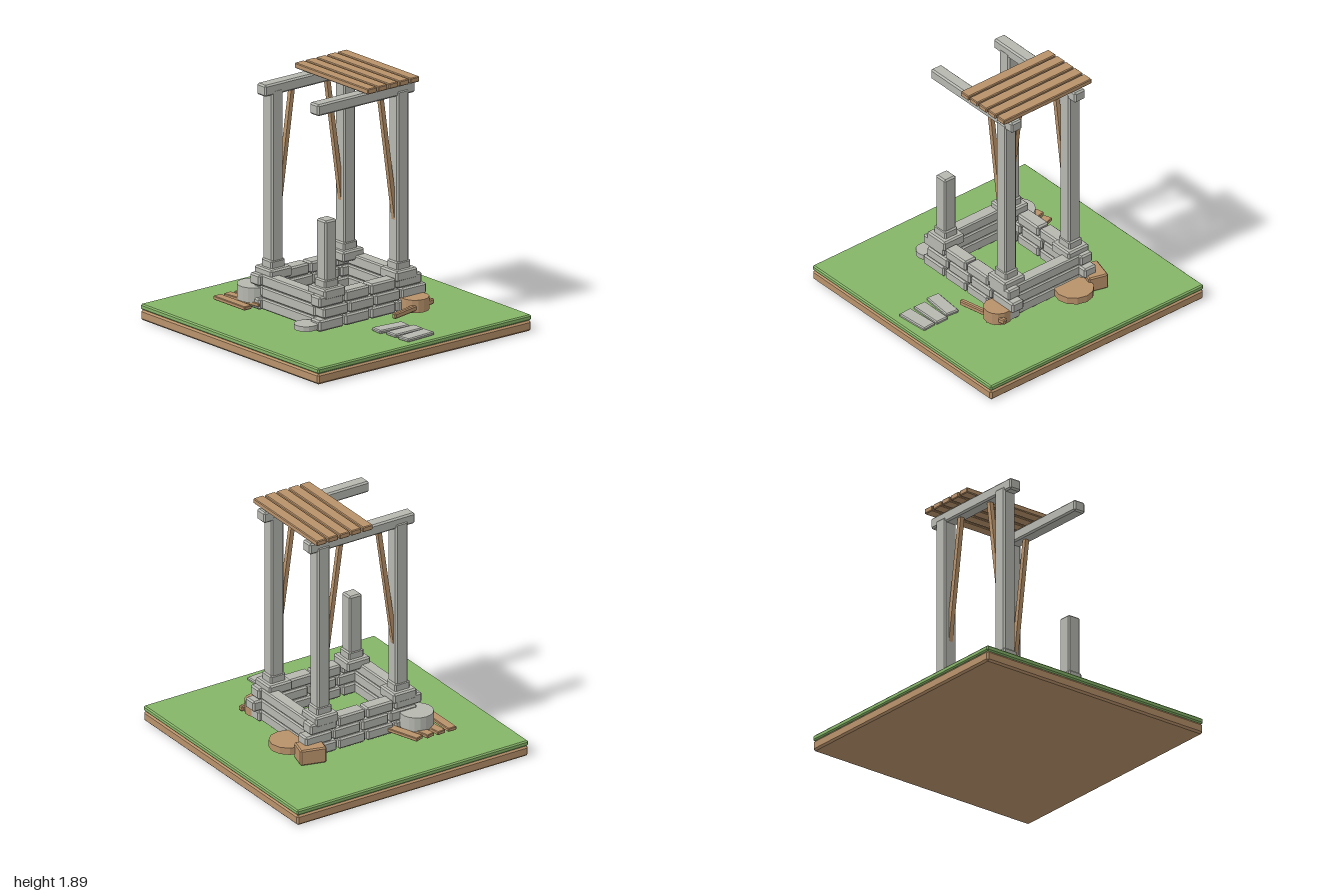
import * as THREE from 'three';
import { ConvexGeometry } from 'three/addons/geometries/ConvexGeometry.js';

const material = (name, color) => {
  const m = new THREE.MeshStandardMaterial({ color });
  m.name = name;
  return m;
};

// Box with chamfered edges and flat faces
function chamferBox(w, h, d, c = 0.01) {
  const pts = [];
  for (const x of [-w / 2, w / 2]) for (const y of [-h / 2, h / 2]) for (const z of [-d / 2, d / 2]) {
    const sx = Math.sign(x) * c, sy = Math.sign(y) * c, sz = Math.sign(z) * c;
    pts.push(
      new THREE.Vector3(x, y - sy, z - sz),
      new THREE.Vector3(x - sx, y, z - sz),
      new THREE.Vector3(x - sx, y - sy, z));
  }
  return new ConvexGeometry(pts);
}

export function createModel() {
  const model = new THREE.Group();
  model.name = 'ruinedWell';
  const stone = material('stone', 0xb6b8b0);
  const wood = material('wood', 0xb8926a);
  const grass = material('grass', 0x86b568);

  const add = (name, geometry, mat, x, y, z) => {
    const mesh = new THREE.Mesh(geometry, mat);
    mesh.name = name;
    mesh.position.set(x, y, z);
    model.add(mesh);
    return mesh;
  };
  // Chamfered block from its bottom y to its top y
  const block = (name, mat, x, z, w, d, y0, y1, turn = 0, c = 0.01) => {
    const mesh = add(name, chamferBox(w, y1 - y0, d, c), mat, x, (y0 + y1) / 2, z);
    mesh.rotation.y = turn;
    return mesh;
  };
  const drum = (name, mat, x, z, r, y0, y1, sides) => {
    const geo = new THREE.CylinderGeometry(r, r, y1 - y0, sides).toNonIndexed();
    geo.computeVertexNormals();
    return add(name, geo, mat, x, (y0 + y1) / 2, z);
  };

  // Ground slab
  block('soil', wood, 0, 0, 2, 2, 0, 0.08, 0, 0.014);
  block('grass', grass, 0, 0, 2, 2, 0.08, 0.123, 0, 0.01);

  // Three courses of wall: four stones front and back, one slab per side
  for (let course = 0; course < 3; course++) {
    const y0 = 0.142 + course * 0.089, y1 = y0 + 0.084;
    const shift = course === 1 ? 0.042 : 0;
    for (const z of [-0.34, 0.34]) {
      for (let i = 0; i < 4; i++) {
        block('wallStone', stone, -0.367 + shift + i * 0.244, z, 0.23, 0.11, y0, y1, 0, 0.012);
      }
    }
    for (const x of [-0.403, 0.403]) block('sideSlab', stone, x, 0, 0.1, 0.6, y0, y1, 0, 0.01);
  }

  // Pillars on stepped feet; the front right-hand-side-of-view opposite is broken short
  for (const x of [-0.338, 0.338]) for (const z of [-0.3, 0.3]) {
    const broken = x < 0 && z > 0;
    block('pillarFoot', stone, x, z, 0.2, 0.195, 0.37, 0.45, 0, 0.012);
    block('pillarCollar', stone, x, z, 0.13, 0.12, 0.44, 0.508, 0, 0.01);
    block(broken ? 'brokenPillar' : 'pillar', stone, x, z, 0.108, 0.108, 0.49, broken ? 0.952 : 1.795, 0, 0.012);
    // Slanting brace from pillar up to beam
    if (!broken) {
      const side = Math.sign(x);
      const brace = add('brace', new THREE.BoxGeometry(0.034, 1.08, 0.034), wood, side * 0.236, 1.27, z);
      brace.rotation.z = side * 0.143;
    }
  }

  // Top beams
  for (const z of [-0.297, 0.297]) block('beam', stone, 0, z, 0.912, 0.1, 1.755, 1.842, 0, 0.012);

  // Roof planks
  for (let i = 0; i < 5; i++) block('roofPlank', wood, i * 0.1, -0.003, 0.087, 0.825, 1.852, 1.893, 0, 0.006);

  // Stepping stones
  block('steppingStone', stone, 0, 0.615, 0.26, 0.108, 0.12, 0.148, -0.1, 0.008);
  block('steppingStone', stone, 0.023, 0.745, 0.262, 0.108, 0.12, 0.148, 0, 0.008);
  block('steppingStone', stone, 0.023, 0.873, 0.262, 0.112, 0.12, 0.148, 0.07, 0.008);

  // Fanned planks under a stone drum
  for (let i = 0; i < 4; i++) {
    block('loosePlank', wood, -0.581 + i * 0.111, -0.465, 0.072, 0.35, 0.165, 0.194, i * 0.11, 0.005);
  }
  drum('stoneDrum', stone, -0.405, -0.437, 0.125, 0.185, 0.297, 18);
  drum('stoneDisc', stone, -0.535, 0.305, 0.088, 0.164, 0.202, 14);

  // Wooden discs, crate and leaning stick
  drum('woodenDisc', wood, 0.528, -0.178, 0.145, 0.165, 0.219, 12);
  drum('woodenDrum', wood, 0.387, 0.421, 0.105, 0.15, 0.247, 14);
  block('crate', wood, 0.483, -0.393, 0.2, 0.156, 0.13, 0.253, -0.27, 0.01);
  const stick = block('stick', wood, 0.312, 0.492, 0.43, 0.038, 0.165, 0.207, 0.165, 0.008);
  stick.rotation.z = 0.035;

  return model;
}
